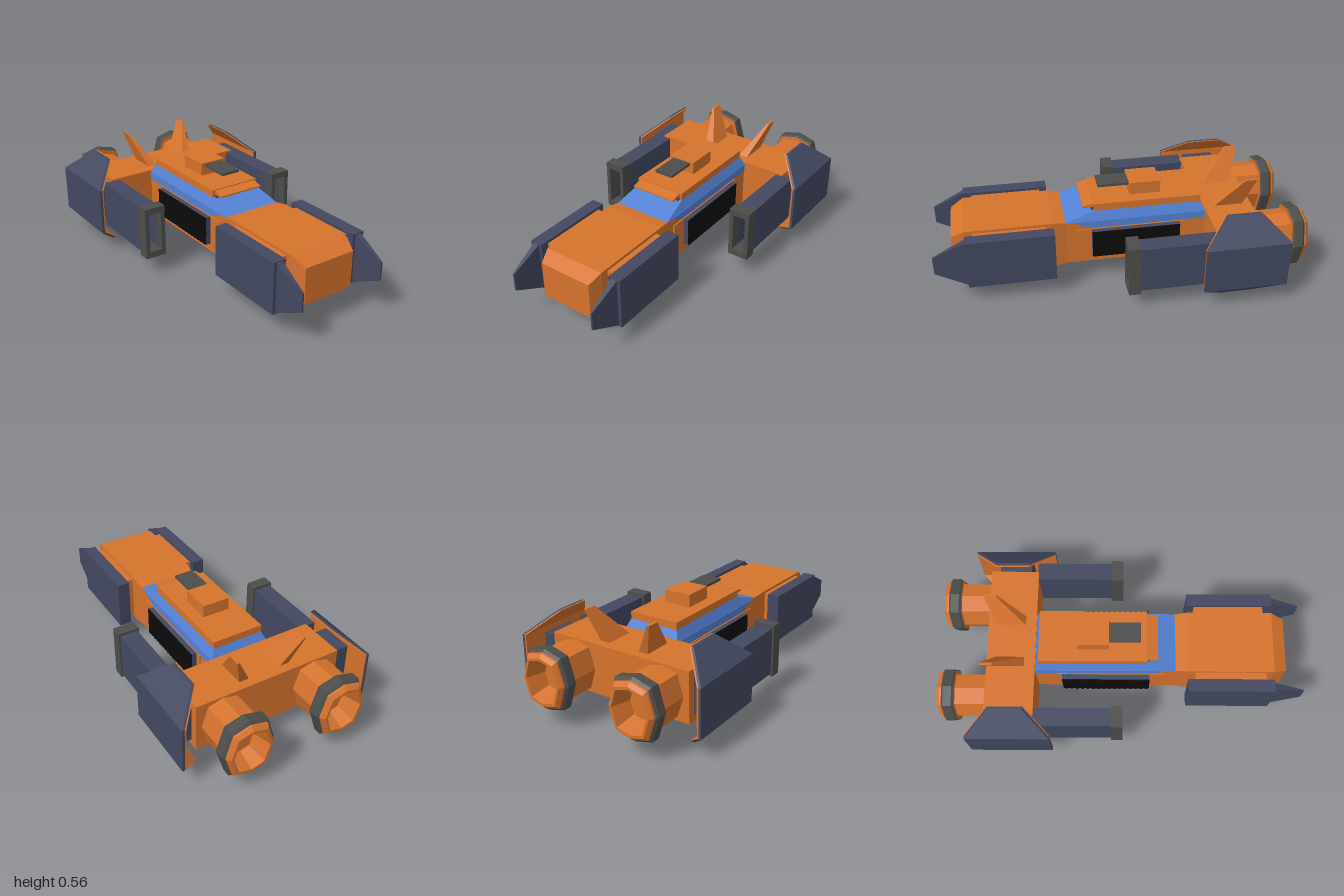
import * as THREE from 'three';
import { ConvexGeometry } from 'three/addons/geometries/ConvexGeometry.js';

const mat = (name, color, side = THREE.FrontSide) =>
  Object.assign(new THREE.MeshStandardMaterial({ color, side }), { name });

export function createModel() {
  const root = new THREE.Group();
  root.name = 'spacecraft';
  const orange = mat('orange', 0xd6732d);
  const navy = mat('navy', 0x434860);
  const grey = mat('grey', 0x4d4d4b);
  const black = mat('black', 0x0c0c0c);
  const blue = mat('blue', 0x5482d6);

  const add = (name, geo, m) => {
    const mesh = new THREE.Mesh(geo, m);
    mesh.name = name;
    root.add(mesh);
    return mesh;
  };
  // Box from its limits
  const box = (name, m, x0, x1, y0, y1, z0, z1) =>
    add(name, new THREE.BoxGeometry(Math.abs(x1 - x0), y1 - y0, z1 - z0), m)
      .position.set((x0 + x1) / 2, (y0 + y1) / 2, (z0 + z1) / 2);
  // Convex solid from corner points
  const solid = (name, m, pts) =>
    add(name, new ConvexGeometry(pts.map((p) => new THREE.Vector3(...p))), m);
  // Solid through rectangular sections [z, centreX, halfWidth, y0, y1]
  const loft = (name, m, sections) => solid(name, m, sections.flatMap(([z, c, w, y0, y1]) =>
    [[c - w, y0, z], [c + w, y0, z], [c + w, y1, z], [c - w, y1, z]]));
  // Rectangular tube along z
  const tube = (name, m, cx, w, h, iw, ih, z0, z1) => {
    const rect = (P, a, b) => {
      const p = new P();
      p.moveTo(-a, -b); p.lineTo(a, -b); p.lineTo(a, b); p.lineTo(-a, b); p.closePath();
      return p;
    };
    const shape = rect(THREE.Shape, w, h);
    shape.holes.push(rect(THREE.Path, iw, ih));
    const geo = new THREE.ExtrudeGeometry(shape, { depth: z1 - z0, bevelEnabled: false });
    add(name, geo, m).position.set(cx, 0.25, z0);
  };
  // Eight-sided turned part, squared off at its diagonal corners; profile is [radius, distance aft]
  const octagon = (name, m, cx, profile) => {
    const pts = profile.map(([r, h]) => new THREE.Vector2(r, h));
    const geo = new THREE.LatheGeometry(pts, 8).rotateX(-Math.PI / 2).toNonIndexed();
    const p = geo.attributes.position;
    for (let i = 0; i < p.count; i++) {
      const x = p.getX(i), y = p.getY(i);
      const diagonal = Math.abs(x) > 0.01 && Math.abs(y) > 0.01;
      p.setXY(i, x * 0.88, y * (diagonal ? 1.18 : 1));
    }
    geo.computeVertexNormals();
    add(name, geo, m).position.set(cx, 0.25, 0);
  };

  // Hull
  loft('noseHull', orange, [[0.9, 0, 0.15, 0.15, 0.35], [0.83, 0, 0.173, 0.11, 0.39],
    [0.36, 0, 0.173, 0.11, 0.39], [0.29, 0, 0.165, 0.12, 0.38]]);
  box('midHull', orange, -0.165, 0.165, 0.12, 0.38, -0.5, 0.3);
  box('rearHull', orange, -0.42, 0.42, 0.115, 0.39, -0.74, -0.475);

  // Canopy and roof
  solid('canopy', blue, [-1, 1].flatMap((s) => [
    [s * 0.166, 0.378, 0.3], [s * 0.166, 0.378, -0.475],
    [s * 0.145, 0.43, 0.13], [s * 0.145, 0.43, -0.45]]));
  loft('roof', orange, [[0.135, 0, 0.145, 0.428, 0.47], [-0.45, 0, 0.145, 0.428, 0.47]]);
  loft('visorGap', navy, [[0.15, 0, 0.13, 0.428, 0.446], [0.13, 0, 0.13, 0.428, 0.446]]);
  loft('visor', orange, [[0.195, 0, 0.13, 0.444, 0.452], [0.13, 0, 0.13, 0.444, 0.466]]);

  // Turret
  box('turret', orange, -0.077, 0.077, 0.465, 0.54, -0.24, -0.07);
  box('turretBarrel', grey, -0.055, 0.055, 0.519, 0.533, -0.08, 0.1);

  for (const s of [-1, 1]) {
    // Side window and grille unit
    const win = [[0.25, 0.378], [0.16, 0.335], [-0.475, 0.335], [-0.475, 0.378]];
    solid('sideWindow', blue, win.flatMap(([z, y]) => [[s * 0.16, y, z], [s * 0.168, y, z]]));
    box('sidePanel', orange, s * 0.16, s * 0.172, 0.14, 0.332, -0.36, 0.24);
    box('sideUnit', navy, s * 0.165, s * 0.2, 0.17, 0.33, -0.33, 0.152);
    box('grille', black, s * 0.199, s * 0.203, 0.17, 0.33, -0.33, 0.152);
    for (let i = 0; i < 16; i++) {
      const z = -0.32 + i * 0.03;
      box('grilleRib', black, s * 0.202, s * 0.207, 0.172, 0.328, z, z + 0.013);
    }

    // Front pod with pointed blade
    box('podMount', orange, s * 0.16, s * 0.22, 0.125, 0.375, 0.4, 0.785);
    box('frontPod', navy, s * 0.215, s * 0.285, 0.11, 0.39, 0.36, 0.83);
    loft('podBlade', navy, [[0.82, s * 0.25, 0.017, 0.115, 0.385], [0.83, s * 0.25, 0.017, 0.115, 0.385],
      [1, s * 0.25, 0.005, 0.2, 0.3]]);

    // Hollow intake
    tube('intakeDuct', navy, s * 0.427, 0.05, 0.13, 0.035, 0.11, -0.48, -0.05);
    tube('intakeRim', grey, s * 0.427, 0.06, 0.145, 0.036, 0.11, -0.06, 0.005);

    // Engine
    const cx = s * 0.27;
    octagon('engineBody', orange, cx, [[0, 0.6], [0.134, 0.6], [0.134, 0.92]]);
    octagon('engineCollar', orange, cx, [[0.13, 0.902], [0.158, 0.904]]);
    octagon('engineRing', grey, cx, [[0.158, 0.904], [0.165, 0.915], [0.165, 0.96], [0.15, 0.972]]);
    octagon('engineNozzle', orange, cx, [[0.15, 0.972], [0.148, 0.982], [0.13, 1], [0.115, 1],
      [0.08, 0.9], [0, 0.9]]);

    // Tail fin
    solid('tailFin', orange, [
      [s * 0.09, 0.385, -0.53], [s * 0.145, 0.385, -0.53],
      [s * 0.09, 0.385, -0.69], [s * 0.145, 0.385, -0.69],
      [s * 0.187, 0.565, -0.68], [s * 0.2, 0.565, -0.68],
      [s * 0.187, 0.565, -0.745], [s * 0.2, 0.565, -0.745]]);

    // Folded side shield: navy outside, orange lining
    box('shieldMount', navy, s * 0.41, s * 0.53, 0.15, 0.35, -0.7, -0.52);
    const layers = [['shield', navy, 0.55, 0.014], ['shieldLining', orange, 0.536, 0.009]];
    for (const [name, m, x, t] of layers) {
      const panel = (rows) => solid(name, m, rows.flatMap(([px, y, z0, z1]) =>
        [px, px - t].flatMap((q) => [[s * q, y, z0], [s * q, y, z1]])));
      panel([[x, 0.12, -0.835, -0.385], [x, 0.38, -0.835, -0.385]]);
      panel([[x, 0.38, -0.835, -0.385], [x - 0.13, 0.5, -0.7, -0.52]]);
      panel([[x, 0.12, -0.835, -0.385], [x - 0.13, 0, -0.7, -0.52]]);
    }
  }
  return root;
}
